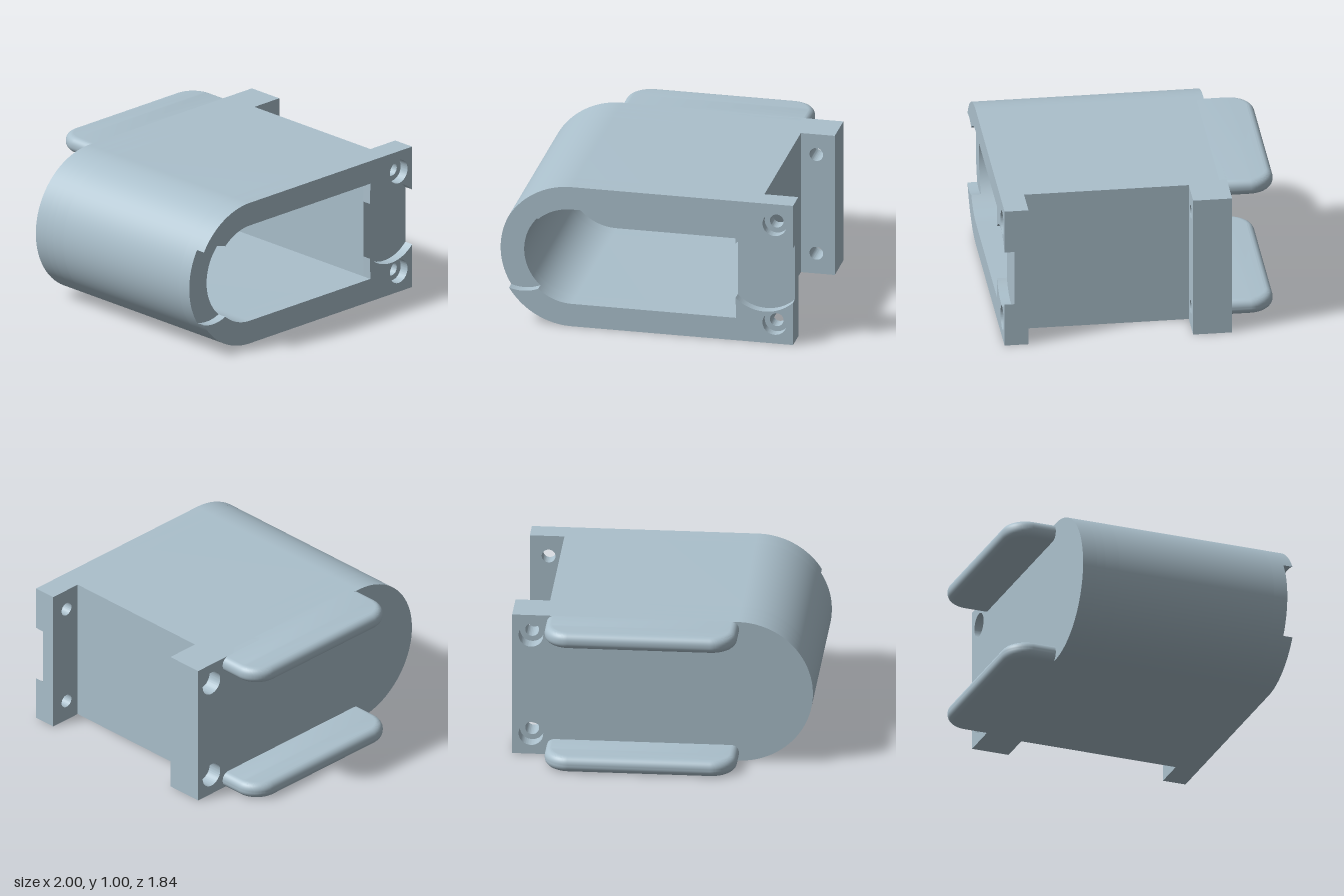
import * as THREE from 'three';
import { toCreasedNormals } from 'three/addons/utils/BufferGeometryUtils.js';

const MID = 0.4975;         // half height; cross-sections are drawn around y = 0
const CX = -0.5025;         // centre of the rounded end
const R_IN = 0.3375;        // half height of the cavity
const NOTCH_X = CX - R_IN, NOTCH_R = 0.2725;
const SCREW_X = 0.875, SCREW_Y = 0.353, BORE = 0.046, COUNTERBORE = 0.082;

// D-shaped outline: round on -x, square on +x
function dShape(PathType, r, right) {
  const s = new PathType();
  s.moveTo(right, -r);
  s.lineTo(right, r);
  s.lineTo(CX, r);
  s.absarc(CX, 0, r, Math.PI / 2, Math.PI * 1.5, false);
  s.closePath();
  return s;
}

function circle(x, y, r) {
  const p = new THREE.Path();
  p.absarc(x, y, r, 0, Math.PI * 2, false);
  return p;
}

// Cross-section of the body, with optional cavity and screw holes
function section(right, cavity, screwRadius) {
  const s = dShape(THREE.Shape, MID, right);
  if (cavity) s.holes.push(dShape(THREE.Path, R_IN, 0.613));
  if (screwRadius) for (const k of [-1, 1]) s.holes.push(circle(SCREW_X, k * SCREW_Y, screwRadius));
  return s;
}

// Raised half of the front rim, cut by the two round finger notches
function rimHalf(side) {
  const meet = (r) => {
    const d = R_IN, a = (r * r + d * d - NOTCH_R * NOTCH_R) / (2 * d);
    return { x: CX - a, y: Math.sqrt(r * r - a * a) };
  };
  const angle = (p, cx) => Math.atan2(p.y, p.x - cx);
  const outer = meet(MID), inner = meet(R_IN);
  const b = Math.acos(0.195 / 0.275);
  const s = new THREE.Shape();
  s.moveTo(1, MID);
  s.lineTo(CX, MID);
  s.absarc(CX, 0, MID, Math.PI / 2, angle(outer, CX), false);
  s.absarc(NOTCH_X, 0, NOTCH_R, angle(outer, NOTCH_X), angle(inner, NOTCH_X), true);
  s.absarc(CX, 0, R_IN, angle(inner, CX), Math.PI / 2, true);
  s.lineTo(0.613, R_IN);
  s.absarc(0.805, 0, 0.275, Math.PI - b, b, true);
  s.closePath();
  const half = new THREE.Shape(s.getPoints(32).map((p) => new THREE.Vector2(p.x, p.y * side)));
  half.holes.push(circle(SCREW_X, side * SCREW_Y, COUNTERBORE));
  return half;
}

export function createModel() {
  const group = new THREE.Group();
  const shell = new THREE.MeshStandardMaterial({ color: 0xabc0cc });
  shell.name = 'pale blue grey';

  const add = (name, geometry) => {
    const mesh = new THREE.Mesh(toCreasedNormals(geometry, 0.6), shell);
    mesh.name = name;
    group.add(mesh);
  };
  const slab = (name, shape, z0, z1) => {
    const g = new THREE.ExtrudeGeometry(shape, { depth: z1 - z0, bevelEnabled: false, curveSegments: 40 });
    add(name, g.translate(0, MID, z0));
  };

  // Housing, from back to front
  slab('backWall', section(1, false, COUNTERBORE), -0.6, -0.5);
  slab('backWallInner', section(1, false, BORE), -0.5, -0.44);
  slab('backFlange', section(1, true, BORE), -0.44, -0.34);
  slab('housing', section(0.77, true, 0), -0.34, 0.76);
  slab('frontFlange', section(1, true, BORE), 0.76, 0.855);
  slab('upperRim', rimHalf(1), 0.855, 0.92);
  slab('lowerRim', rimHalf(-1), 0.855, 0.92);

  // Rounded tabs behind the housing; the bevel adds 0.05 all round
  const tab = new THREE.Shape();
  const x0 = -0.458, x1 = 0.72, end = 0.87, r = 0.12;
  tab.moveTo(x0, 0.55);
  tab.lineTo(x1, 0.55);
  tab.lineTo(x1, end - r);
  tab.absarc(x1 - r, end - r, r, 0, Math.PI / 2, false);
  tab.lineTo(x0 + r, end);
  tab.absarc(x0 + r, end - r, r, Math.PI / 2, Math.PI, false);
  tab.closePath();
  for (const [name, y] of [['lowerTab', 0], ['upperTab', 2 * MID - 0.11]]) {
    const g = new THREE.ExtrudeGeometry(tab, {
      depth: 0.01, bevelThickness: 0.05, bevelSize: 0.05, bevelSegments: 8, curveSegments: 16,
    });
    add(name, g.rotateX(-Math.PI / 2).translate(0, y + 0.05, 0));
  }
  return group;
}
